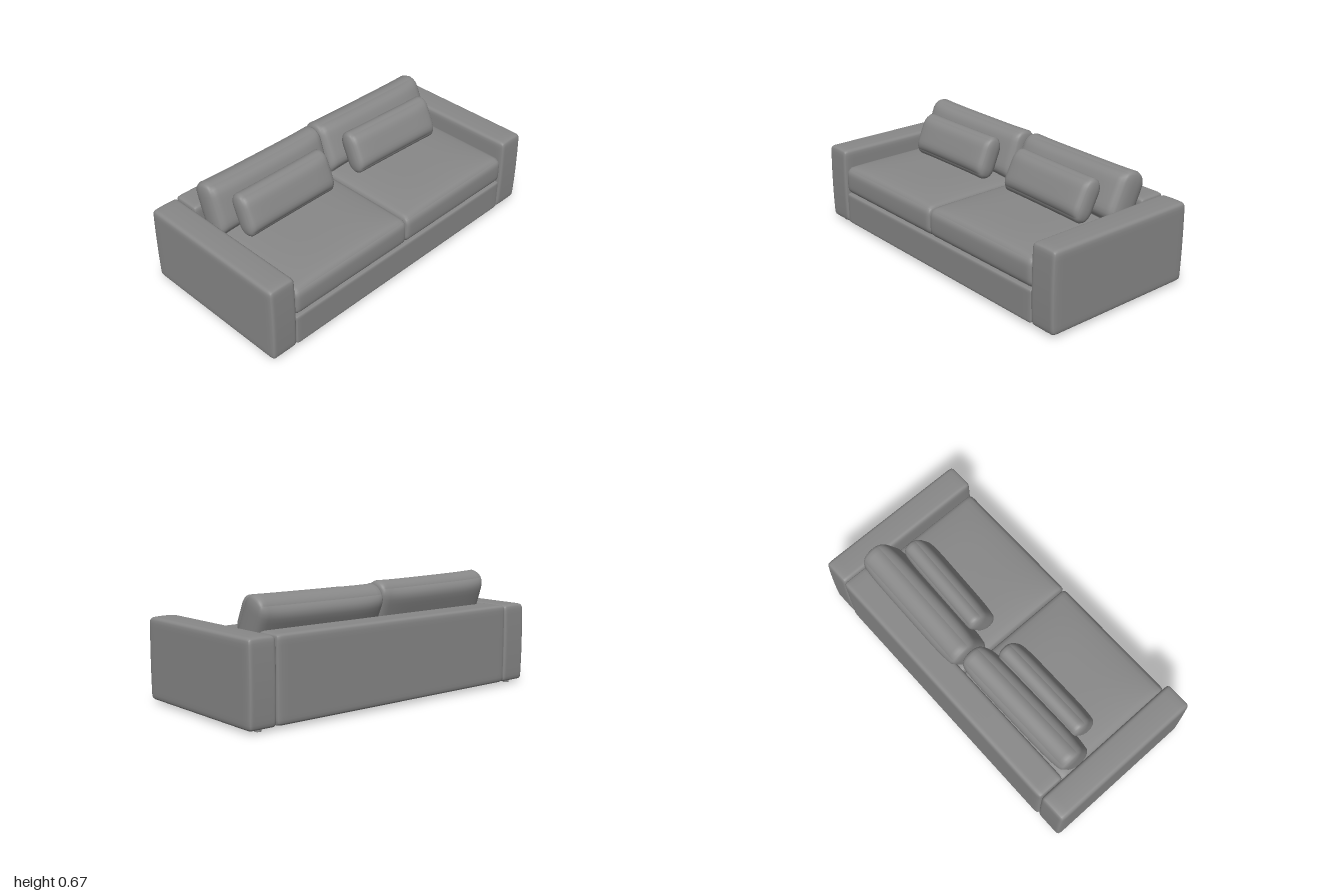
import * as THREE from 'three';
import { mergeVertices } from 'three/addons/utils/BufferGeometryUtils.js';

const fabric = new THREE.MeshStandardMaterial({ color: 0x888888 });

// Upholstered block: a dense box with elliptical rounding (radii per axis).
// shape(p, u, v, w) may bend each vertex further; u, v, w run from -1 to 1.
function softBox(size, radii, shape) {
  const geometry = new THREE.BoxGeometry(2, 2, 2, 24, 18, 18);
  geometry.deleteAttribute('normal');
  geometry.deleteAttribute('uv');
  const pos = geometry.attributes.position;
  const p = new THREE.Vector3();
  for (let i = 0; i < pos.count; i++) {
    const unit = [pos.getX(i), pos.getY(i), pos.getZ(i)];
    // crowd the grid lines towards the edges, where the rounding is
    const c = unit.map((t) => Math.sin((t * Math.PI) / 2));
    const inner = size.map((s, k) => s / 2 - radii[k]);
    const over = c.map((t, k) => Math.max((Math.abs(t) * size[k]) / 2 - inner[k], 0) / radii[k]);
    const length = Math.hypot(...over) || 1;
    p.fromArray(c.map((t, k) => {
      const a = Math.min((Math.abs(t) * size[k]) / 2, inner[k]);
      return Math.sign(t) * (a + (over[k] / length) * radii[k]);
    }));
    if (shape) shape(p, ...c);
    pos.setXYZ(i, p.x, p.y, p.z);
  }
  const smooth = mergeVertices(geometry, 1e-5);
  smooth.computeVertexNormals();
  return smooth;
}

function add(group, name, geometry, x, y, z) {
  const mesh = new THREE.Mesh(geometry, fabric);
  mesh.name = name;
  mesh.position.set(x, y, z);
  group.add(mesh);
  return mesh;
}

// Stuffed pillow: thinner at the border, with top and bottom sagging between the corners
function pillow(width, height, depth, pinch, sag) {
  return softBox([width, height, depth], [0.03, 0.075, depth * 0.46], (p, u, v) => {
    const puff = (1 - u ** 6) * (1 - v ** 4);
    p.z *= 1 - pinch * (1 - puff);
    p.y *= 1 - sag * (1 - u ** 4);
  });
}

function lean(mesh, tilt, yaw, roll) {
  mesh.rotation.set(-tilt, yaw, roll, 'YXZ');
}

export function createModel() {
  const sofa = new THREE.Group();
  sofa.name = 'sofa';

  // Frame: base and backrest between the arms
  add(sofa, 'base', softBox([1.664, 0.192, 0.95], [0.015, 0.015, 0.015]), 0, 0.114, 0.003);
  add(sofa, 'backrest', softBox([1.664, 0.462, 0.17], [0.02, 0.025, 0.025]), 0, 0.249, -0.4);

  // Arms and their feet
  for (const side of [-1, 1]) {
    const label = side > 0 ? 'left' : 'right';
    const arm = softBox([0.168, 0.46, 0.966], [0.022, 0.026, 0.022], (p, u, v) => {
      p.z *= 0.988 + 0.012 * (1 - v * v);
      p.y += v > 0 ? 0.004 * (1 - u * u) * v : 0;
    });
    add(sofa, label + 'Arm', arm, side * 0.916, 0.245, 0);
    for (const z of [-0.425, 0.43]) {
      add(sofa, label + 'Foot', new THREE.CylinderGeometry(0.018, 0.018, 0.03, 20), side * 0.915, 0.015, z);
    }
  }

  // Seat cushions with a crowned top
  for (const side of [-1, 1]) {
    const seat = softBox([0.83, 0.17, 0.79], [0.022, 0.045, 0.035], (p, u, v, w) => {
      if (v > 0) p.y += 0.024 * v * (1 - u ** 4) * (1 - w ** 4);
      p.z += w > 0 ? 0.006 * (1 - v * v) * w : 0;
    });
    add(sofa, side > 0 ? 'leftSeatCushion' : 'rightSeatCushion', seat, side * 0.415, 0.293, 0.079);
  }

  // Loose back cushions leaning over the backrest
  const rightBack = add(sofa, 'rightBackCushion', pillow(0.825, 0.325, 0.19, 0.24, 0.04), -0.416, 0.512, -0.215);
  lean(rightBack, 0.33, 0.01, -0.012);
  const leftBack = add(sofa, 'leftBackCushion', pillow(0.83, 0.32, 0.21, 0.24, 0.03), 0.416, 0.5, -0.228);
  lean(leftBack, 0.44, -0.02, 0);

  // Small lumbar pillows in front
  const rightLumbar = add(sofa, 'rightLumbarPillow', pillow(0.635, 0.255, 0.145, 0.22, 0.02), -0.413, 0.509, -0.056);
  lean(rightLumbar, 0.4, 0, 0);
  const leftLumbar = add(sofa, 'leftLumbarPillow', pillow(0.635, 0.255, 0.145, 0.22, 0.02), 0.41, 0.508, -0.046);
  lean(leftLumbar, 0.46, -0.045, 0);

  return sofa;
}
